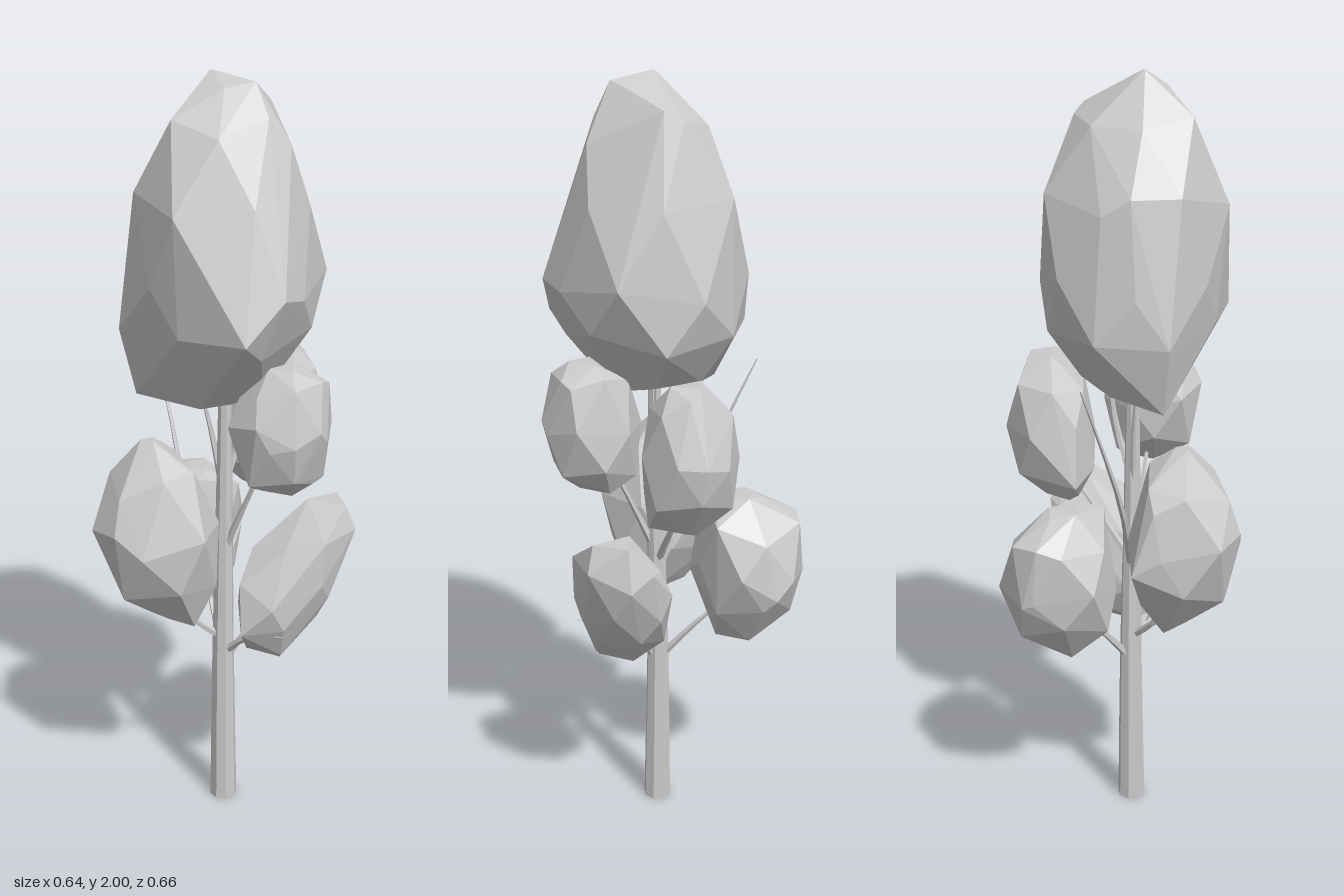
import * as THREE from 'three';
import { ConvexGeometry } from 'three/addons/geometries/ConvexGeometry.js';

const material = new THREE.MeshStandardMaterial({ color: 0xcccccc, flatShading: true });

// Faceted foliage clump: hull of staggered rings, each [y, xMin, xMax, zMin, zMax],
// plus a few protruding corners [x, y, z]
function clump(name, rings, corners, sides = 6) {
  const points = corners.map(c => new THREE.Vector3(...c));
  rings.forEach(([y, x0, x1, z0, z1], i) => {
    const small = x1 - x0 < 0.13;
    const n = small ? 3 : sides;
    for (let k = 0; k < n; k++) {
      const a = ((k + (i % 2) * 0.5 + 0.2) / n) * Math.PI * 2;
      const wobble = 1.03 + 0.04 * Math.sin(k * 2.3 + i * 1.7);
      points.push(new THREE.Vector3(
        (x0 + x1) / 2 + (Math.cos(a) * wobble * (x1 - x0)) / 2,
        y + (small ? 0 : 0.022 * Math.sin(k * 2.6 + i)),
        (z0 + z1) / 2 + (Math.sin(a) * wobble * (z1 - z0)) / 2));
    }
  });
  const mesh = new THREE.Mesh(new ConvexGeometry(points), material);
  mesh.name = name;
  return mesh;
}

// Tube along a curve, narrowing from r0 to r1
function limb(name, path, r0, r1, sides, steps = 6) {
  const curve = new THREE.CatmullRomCurve3(path.map(p => new THREE.Vector3(...p)));
  const geometry = new THREE.TubeGeometry(curve, steps, r0, sides, false);
  const pos = geometry.attributes.position;
  const v = new THREE.Vector3();
  for (let i = 0; i < pos.count; i++) {
    const t = Math.floor(i / (sides + 1)) / steps;
    const c = curve.getPointAt(t);
    v.fromBufferAttribute(pos, i).sub(c).multiplyScalar(1 + (r1 / r0 - 1) * t).add(c);
    pos.setXYZ(i, v.x, v.y, v.z);
  }
  geometry.computeVertexNormals();
  const mesh = new THREE.Mesh(geometry, material);
  mesh.name = name;
  return mesh;
}

export function createModel() {
  const tree = new THREE.Group();
  tree.name = 'tree';

  // Trunk and its closed foot
  tree.add(limb('trunk', [[0.012, 0, 0.02], [0.01, 0.45, 0.018], [0.015, 0.9, 0.02], [0.018, 1.35, 0.02]], 0.038, 0.015, 8));
  const foot = new THREE.Mesh(new THREE.CircleGeometry(0.037, 8), material);
  foot.name = 'trunkFoot';
  foot.rotation.x = Math.PI / 2;
  foot.position.set(0.012, 0.001, 0.02);
  tree.add(foot);

  // Branches, each running from the trunk into a clump; two end in bare twigs
  const branches = [
    [[0.01, 0.42, 0.02], [0.07, 0.52, 0], [0.16, 0.66, -0.07]],
    [[0.01, 0.43, 0.02], [-0.07, 0.55, -0.05], [-0.18, 0.68, -0.13]],
    [[0.01, 0.5, 0.02], [-0.04, 0.57, 0.09], [-0.09, 0.75, 0.18]],
    [[0.012, 0.75, 0.02], [0.08, 0.9, 0.03], [0.18, 1.1, 0.04]],
    [[0.012, 0.72, 0.02], [0.02, 0.86, -0.08], [0.03, 1.02, -0.2]],
    [[0.012, 0.7, 0.02], [-0.11, 0.92, 0.02], [-0.17, 1.08, -0.01], [-0.25, 1.27, -0.05]],
    [[0.015, 0.92, 0.02], [-0.02, 1.1, 0.03], [-0.06, 1.28, 0.05]],
    [[0.015, 0.95, 0.02], [0.04, 1.1, -0.03], [0.06, 1.3, -0.06]],
    [[0.01, 0.45, 0.02], [0.1, 0.53, 0.04], [0.23, 0.58, 0.07]],
  ];
  branches.forEach((path, i) => tree.add(limb('branch' + (i + 1), path, 0.012, 0.002, 5)));

  // Tall crown, its underside lower at the front
  tree.add(clump('crown', [
    [2.0, -0.005, 0.005, 0.045, 0.055],
    [1.965, 0, 0.11, -0.02, 0.09],
    [1.88, -0.11, 0.16, -0.12, 0.18],
    [1.7, -0.195, 0.225, -0.19, 0.245],
    [1.5, -0.21, 0.255, -0.22, 0.245],
    [1.37, -0.22, 0.235, -0.2, 0.235],
  ], [
    [0.12, 1.98, 0.05], [0.2, 1.84, 0.02], [0.065, 1.92, -0.115], [-0.19, 1.72, 0.06],
    [0.21, 1.4, 0.235], [0.265, 1.5, 0.15], [-0.21, 1.37, 0.16],
    [-0.175, 1.2, 0.14], [0, 1.18, 0.11], [0.08, 1.2, 0.08], [-0.15, 1.23, 0],
    [0.13, 1.22, 0.02], [0.08, 1.25, -0.1], [-0.05, 1.25, -0.1],
  ], 7));

  // Upper clumps
  tree.add(clump('upperLeftClump', [
    [1.305, 0.17, 0.24, -0.01, 0.09],
    [1.25, 0.1, 0.29, -0.06, 0.13],
    [1.14, 0.06, 0.32, -0.09, 0.16],
    [1.03, 0.08, 0.3, -0.08, 0.14],
    [0.97, 0.14, 0.23, -0.04, 0.07],
  ], [
    [0.32, 1.13, 0.03], [0.285, 1.26, -0.04], [0.28, 1.01, 0.03],
    [0.2, 1.18, 0.17], [0.2, 1.28, -0.06], [0.285, 1.13, 0.125],
  ]));
  tree.add(clump('upperBackClump', [
    [1.285, 0.0, 0.1, -0.26, -0.18],
    [1.2, -0.06, 0.14, -0.3, -0.11],
    [1.09, -0.09, 0.165, -0.32, -0.09],
    [0.99, -0.07, 0.16, -0.31, -0.09],
    [0.9, 0.0, 0.125, -0.23, -0.1],
  ], [
    [0.065, 1.1, -0.33], [0.08, 1.26, -0.27], [-0.08, 0.95, -0.11], [-0.03, 0.9, -0.14],
    [0.04, 1.2, -0.12], [0, 1.26, -0.26], [0.05, 1.03, -0.315], [0.03, 0.89, -0.22],
  ]));

  // Lower clumps
  tree.add(clump('frontClump', [
    [1.1, -0.13, -0.09, 0.16, 0.2],
    [1.0, -0.22, 0.0, 0.08, 0.27],
    [0.85, -0.26, 0.08, 0.04, 0.325],
    [0.72, -0.24, 0.07, 0.05, 0.29],
    [0.61, -0.14, 0.01, 0.1, 0.2],
  ], [
    [-0.265, 0.8, 0.08], [-0.115, 0.88, 0.33], [-0.24, 0.96, 0.13],
    [-0.1, 1.05, 0.09], [-0.01, 1.03, 0.16], [-0.12, 0.97, 0.3], [-0.12, 0.69, 0.29],
  ]));
  tree.add(clump('lowerRightClump', [
    [0.93, -0.21, -0.11, -0.16, -0.06],
    [0.85, -0.31, -0.06, -0.26, 0.0],
    [0.73, -0.325, -0.05, -0.28, 0.02],
    [0.63, -0.3, -0.06, -0.25, 0.0],
    [0.53, -0.21, -0.1, -0.18, -0.07],
  ], [
    [-0.32, 0.87, -0.15], [-0.22, 0.92, -0.14], [-0.1, 0.92, -0.03], [-0.05, 0.72, -0.05],
    [-0.32, 0.71, -0.19], [-0.18, 0.515, -0.1], [-0.18, 0.68, -0.28],
  ]));
  tree.add(clump('lowerLeftClump', [
    [0.89, 0.17, 0.29, -0.22, -0.12],
    [0.8, 0.11, 0.31, -0.25, 0.0],
    [0.68, 0.06, 0.285, -0.23, 0.1],
    [0.59, 0.05, 0.25, -0.18, 0.11],
    [0.5, 0.09, 0.2, -0.08, 0.07],
  ], [
    [0.08, 0.77, -0.02], [0.28, 0.65, -0.08], [0.17, 0.82, -0.25],
    [0.1, 0.74, -0.22], [0.06, 0.68, -0.06], [0.19, 0.49, 0.02],
  ]));

  return tree;
}
